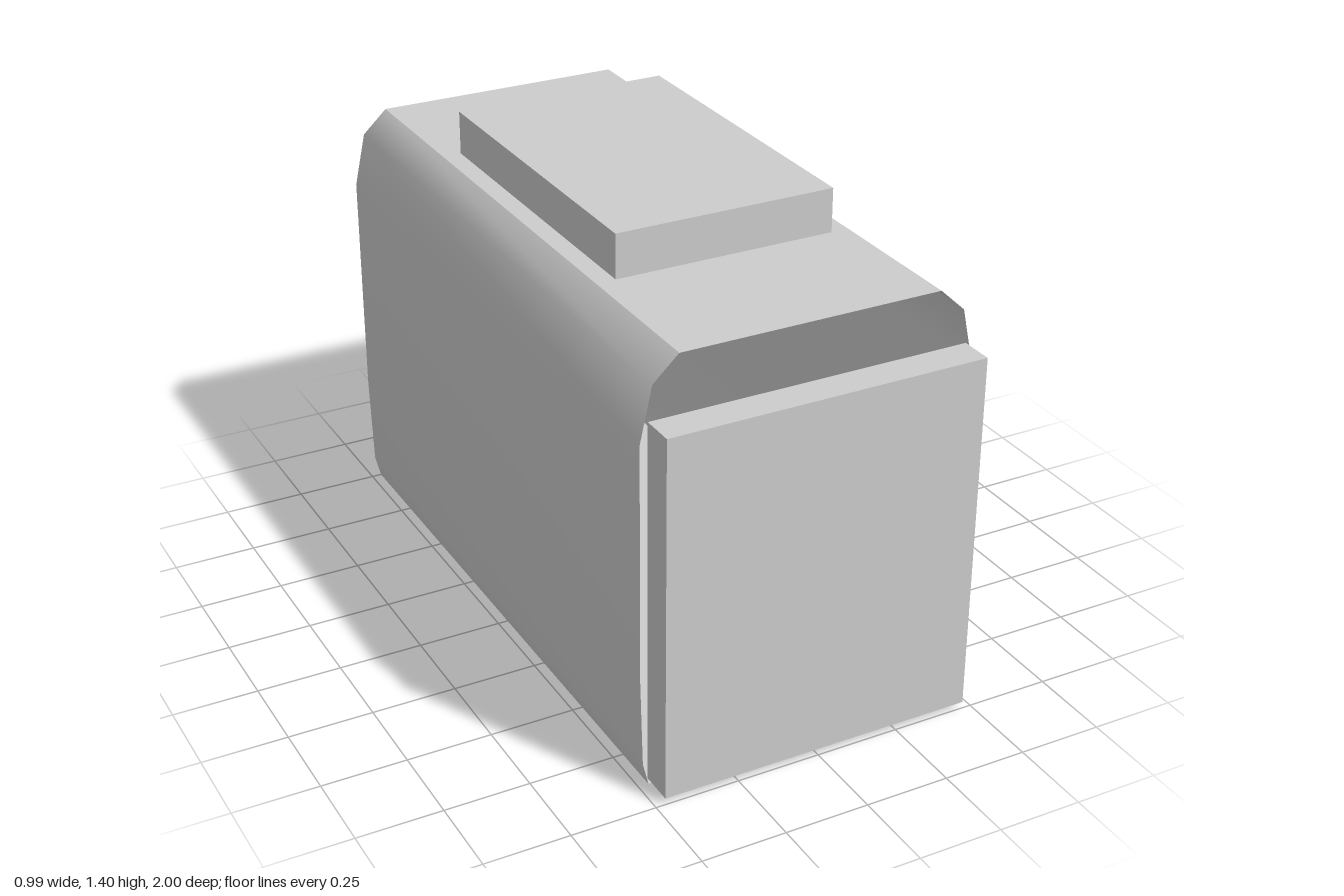
import * as THREE from 'three';

const FRONT = 0.9, BACK = -1;

// Open sheet swept along z from a profile; points run clockwise as seen from the front
function sheet(points) {
  const pos = [], index = [];
  points.forEach(([x, y], i) => {
    pos.push(x, y, FRONT, x, y, BACK);
    if (i === 0) return;
    const a = 2 * (i - 1), b = 2 * i;
    index.push(a, b, b + 1, a, b + 1, a + 1);
  });
  const g = new THREE.BufferGeometry();
  g.setAttribute('position', new THREE.Float32BufferAttribute(pos, 3));
  g.setIndex(index);
  g.computeVertexNormals();
  return g;
}

export function createModel() {
  const group = new THREE.Group();
  const grey = new THREE.MeshStandardMaterial({ color: 0xcccccc, side: THREE.DoubleSide });
  grey.name = 'light grey';

  const add = (name, geometry, x = 0, y = 0, z = 0) => {
    const mesh = new THREE.Mesh(geometry, grey);
    mesh.name = name;
    mesh.position.set(x, y, z);
    group.add(mesh);
  };

  // Thin casing, open at both ends: smooth sides, flat top and bottom
  const side = [[0.385, 1.27], [0.46, 1.2], [0.495, 1.04], [0.495, 0.35], [0.487, 0.07], [0.47, 0]];
  const mirrored = side.map(([x, y]) => [-x, y]).reverse();
  add('leftSide', sheet(side));
  add('rightSide', sheet(mirrored));
  add('casingTop', sheet([[-0.385, 1.27], [0.385, 1.27]]));
  add('casingBottom', sheet([[0.47, 0], [-0.47, 0]]));

  // Front panel and raised block on the top
  add('frontPanel', new THREE.BoxGeometry(0.945, 1.08, 0.1), 0, 0.56, 0.95);
  add('topBlock', new THREE.BoxGeometry(0.66, 0.13, 1), 0, 1.337, -0.05);

  return group;
}
